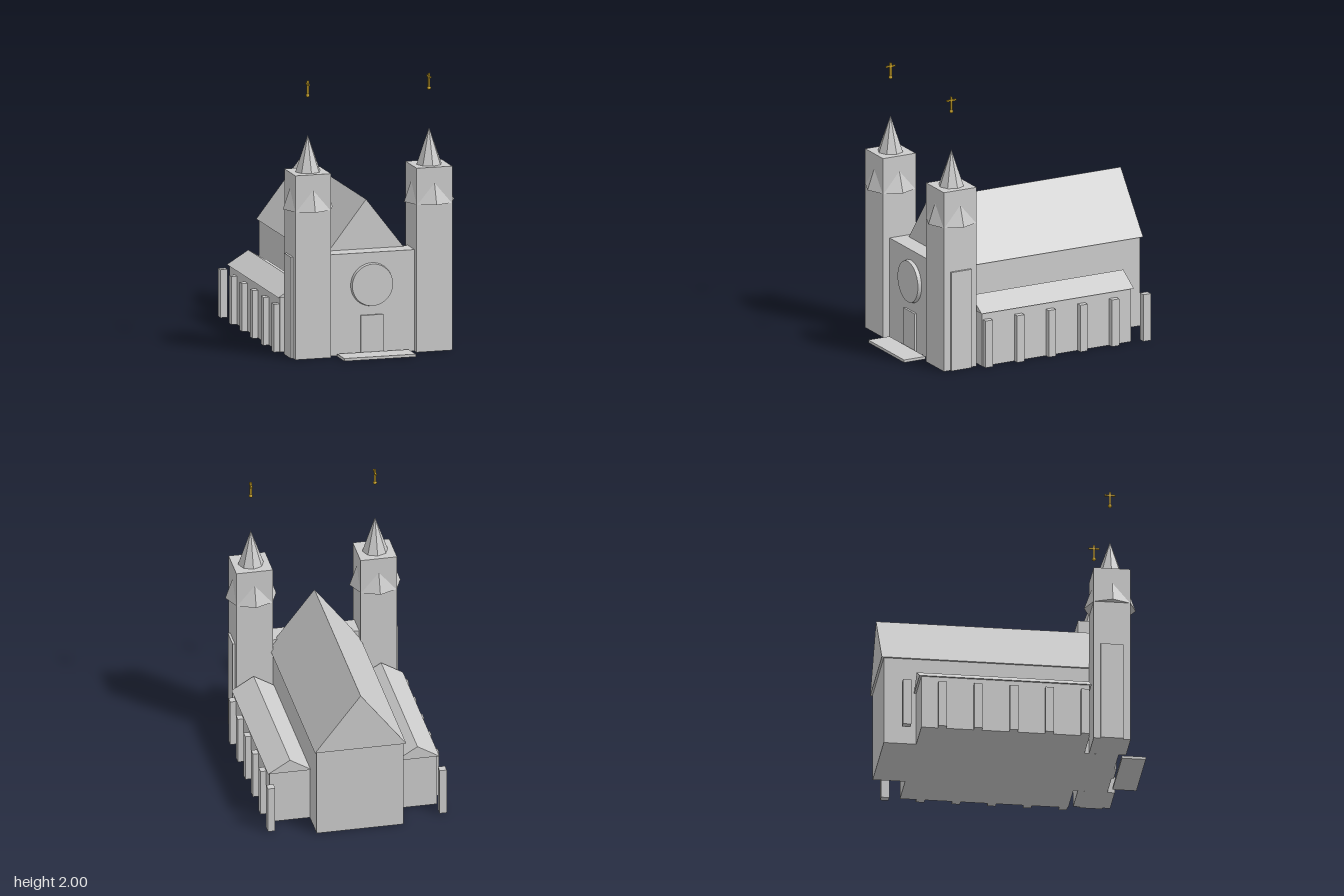
import * as THREE from 'three';

export function createModel() {
  const stone = new THREE.MeshStandardMaterial({ color: 0xcccccc });
  stone.name = 'stone';
  const gold = new THREE.MeshStandardMaterial({ color: 0xc9a227 });
  gold.name = 'gold';

  const church = new THREE.Group();
  church.name = 'church';

  const add = (parent, name, geometry, material = stone) => {
    const mesh = new THREE.Mesh(geometry, material);
    mesh.name = name;
    parent.add(mesh);
    return mesh;
  };

  // Box given by its lower and upper limits on each axis
  const box = (parent, name, [x0, x1], [y0, y1], [z0, z1], material) =>
    add(parent, name, new THREE.BoxGeometry(x1 - x0, y1 - y0, z1 - z0), material)
      .position.set((x0 + x1) / 2, (y0 + y1) / 2, (z0 + z1) / 2);

  // Gabled roof with its ridge along z
  const gableRoof = (parent, name, x, halfWidth, eave, ridge, z0, z1) => {
    const shape = new THREE.Shape([
      new THREE.Vector2(-halfWidth, eave),
      new THREE.Vector2(halfWidth, eave),
      new THREE.Vector2(0, ridge),
    ]);
    const geometry = new THREE.ExtrudeGeometry(shape, { depth: z1 - z0, bevelEnabled: false });
    add(parent, name, geometry).position.set(x, 0, z0);
  };

  // Nave
  box(church, 'naveWalls', [-0.317, 0.317], [0, 0.669], [-0.938, 0.6]);
  gableRoof(church, 'naveRoof', 0, 0.333, 0.667, 1.098, -0.954, 0.616);

  // Front block with door, round window and step
  box(church, 'frontBlock', [-0.603, 0.603], [0, 0.738], [0.586, 0.75]);
  box(church, 'door', [-0.083, 0.083], [0, 0.285], [0.74, 0.766]);
  const rose = add(church, 'roundWindow', new THREE.CylinderGeometry(0.152, 0.16, 0.04, 40));
  rose.rotation.x = Math.PI / 2;
  rose.position.set(0, 0.505, 0.757);
  box(church, 'frontStep', [-0.267, 0.267], [0, 0.02], [0.78, 0.952]);

  for (const side of [1, -1]) {
    const label = side > 0 ? 'left' : 'right';
    const span = (a, b) => (side > 0 ? [a, b] : [-b, -a]);

    // Side aisle
    const aisle = new THREE.Group();
    aisle.name = label + 'Aisle';
    church.add(aisle);
    box(aisle, 'aisleWalls', span(0.31, 0.61), [0, 0.4], [-0.705, 0.505]);
    gableRoof(aisle, 'aisleRoof', side * 0.465, 0.16, 0.399, 0.496, -0.72, 0.518);

    // Buttresses; the rearmost stands free
    for (let i = 0; i < 6; i++) {
      const z = 0.47 - i * 0.2565;
      box(aisle, 'buttress', span(0.6, 0.652), [0, 0.35], [z - 0.03, z + 0.03]);
    }

    // Tower: the spire's skirt shows around the shaft, its tip above it
    const tower = new THREE.Group();
    tower.name = label + 'Tower';
    tower.position.set(side * 0.453, 0, 0.67);
    church.add(tower);
    box(tower, 'towerShaft', [-0.133, 0.133], [0, 1.34], [-0.133, 0.133]);
    const spire = new THREE.ConeGeometry(0.186, 0.532, 8).toNonIndexed();
    spire.computeVertexNormals();
    add(tower, 'spire', spire).position.y = 1.074 + 0.266;

    // Cross hovering over the spire
    const cross = new THREE.Group();
    cross.name = 'cross';
    tower.add(cross);
    add(cross, 'crossBall', new THREE.SphereGeometry(0.014, 16, 12), gold).position.y = 1.892;
    box(cross, 'crossPost', [-0.007, 0.007], [1.89, 2], [-0.007, 0.007], gold);
    box(cross, 'crossBar', [-0.006, 0.006], [1.969, 1.98], [-0.038, 0.038], gold);
  }

  return church;
}
